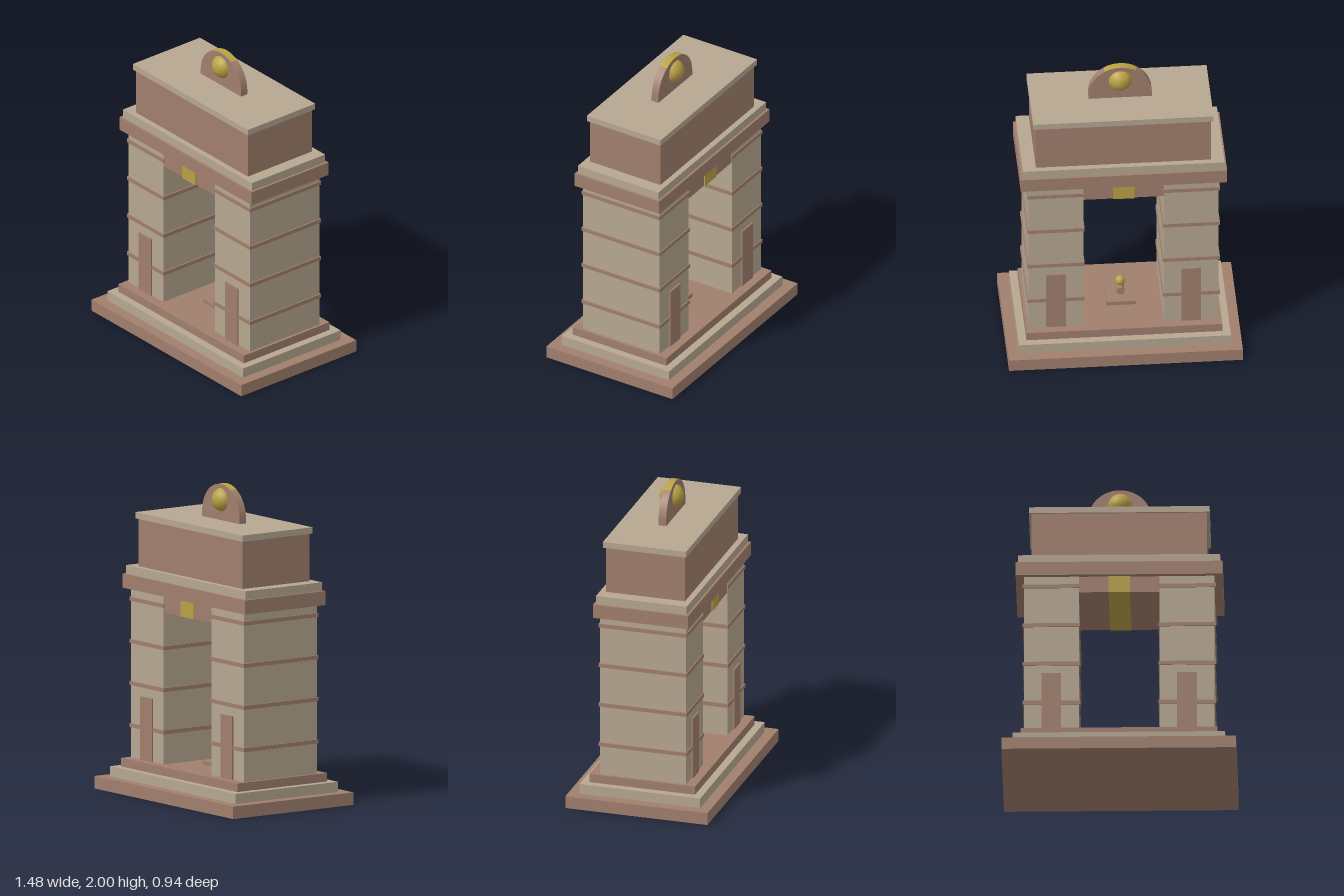
import * as THREE from 'three';

export function createModel() {
  const model = new THREE.Group();
  model.name = 'monumentalArch';

  const material = (name, color) => {
    const m = new THREE.MeshStandardMaterial({ color });
    m.name = name;
    return m;
  };
  const brown = material('brownStone', 0xa07f6d);
  const beige = material('paleStone', 0xb6a791);
  const gold = material('gold', 0xb8a145);

  const add = (name, geometry, mat, x = 0, y = 0, z = 0, parent = model) => {
    const mesh = new THREE.Mesh(geometry, mat);
    mesh.name = name;
    mesh.position.set(x, y, z);
    parent.add(mesh);
    return mesh;
  };
  // Box given by half width, bottom, top and half depth
  const slab = (name, mat, hx, y0, y1, hz, x = 0, z = 0, parent = model) =>
    add(name, new THREE.BoxGeometry(hx * 2, y1 - y0, hz * 2), mat, x, (y0 + y1) / 2, z, parent);

  // Stepped base
  slab('baseStepLower', brown, 0.74, 0, 0.08, 0.47);
  slab('baseStepMiddle', beige, 0.67, 0.08, 0.145, 0.4);
  slab('baseStepUpper', brown, 0.62, 0.145, 0.2, 0.35);

  // Two piers with string courses and tall panels front and back
  for (const side of [-1, 1]) {
    const pier = new THREE.Group();
    pier.name = side > 0 ? 'leftPier' : 'rightPier';
    model.add(pier);
    const x = side * 0.428;
    slab('pierShaft', beige, 0.173, 0.2, 1.28, 0.285, x, 0, pier);
    for (const y of [0.405, 0.675, 0.943, 1.213]) {
      slab('pierBand', brown, 0.181, y - 0.0125, y + 0.0125, 0.291, x, 0, pier);
    }
    for (const face of [-1, 1]) {
      slab('pierPanel', brown, 0.062, 0.2, 0.605, 0.008, x, face * 0.288, pier);
    }
  }

  // Lintel with a keystone running through the passage
  slab('lintel', brown, 0.255, 1.172, 1.28, 0.283);
  slab('keystone', gold, 0.068, 1.17, 1.28, 0.289);

  // Cornice, attic and cap
  slab('corniceLower', brown, 0.653, 1.28, 1.37, 0.315);
  slab('corniceUpper', beige, 0.637, 1.37, 1.425, 0.3);
  slab('attic', brown, 0.553, 1.425, 1.73, 0.262);
  slab('atticCap', beige, 0.57, 1.73, 1.77, 0.275);

  // Round-headed crest
  const crestShape = new THREE.Shape();
  crestShape.moveTo(-0.2, -0.03);
  crestShape.lineTo(0.2, -0.03);
  crestShape.lineTo(0.2, 0);
  crestShape.absarc(0, 0, 0.2, 0, Math.PI, false);
  crestShape.closePath();
  const crest = new THREE.ExtrudeGeometry(crestShape, { depth: 0.05, bevelEnabled: false, curveSegments: 24 });
  crest.translate(0, 0, -0.025);
  add('crest', crest, brown, 0, 1.8, 0);

  // Thin gilding on the top of the crest rim
  const rim = new THREE.CylinderGeometry(0.201, 0.201, 0.05, 12, 1, true, Math.PI - Math.PI / 6, Math.PI / 3);
  rim.rotateX(Math.PI / 2);
  add('crestGilding', rim, gold, 0, 1.8, 0);
  add('crestOrb', new THREE.SphereGeometry(0.078, 24, 16), gold, 0, 1.9, 0);

  // Small memorial in the middle of the passage
  const memorial = new THREE.Group();
  memorial.name = 'memorial';
  model.add(memorial);
  slab('memorialPlinth', brown, 0.093, 0.2, 0.226, 0.095, 0, 0, memorial);
  const roll = new THREE.CylinderGeometry(0.026, 0.026, 0.09, 16);
  roll.rotateX(Math.PI / 2);
  add('memorialRoll', roll, brown, 0, 0.27, 0, memorial);
  add('memorialOrb', new THREE.SphereGeometry(0.032, 16, 12), gold, 0, 0.325, 0, memorial);

  return model;
}
